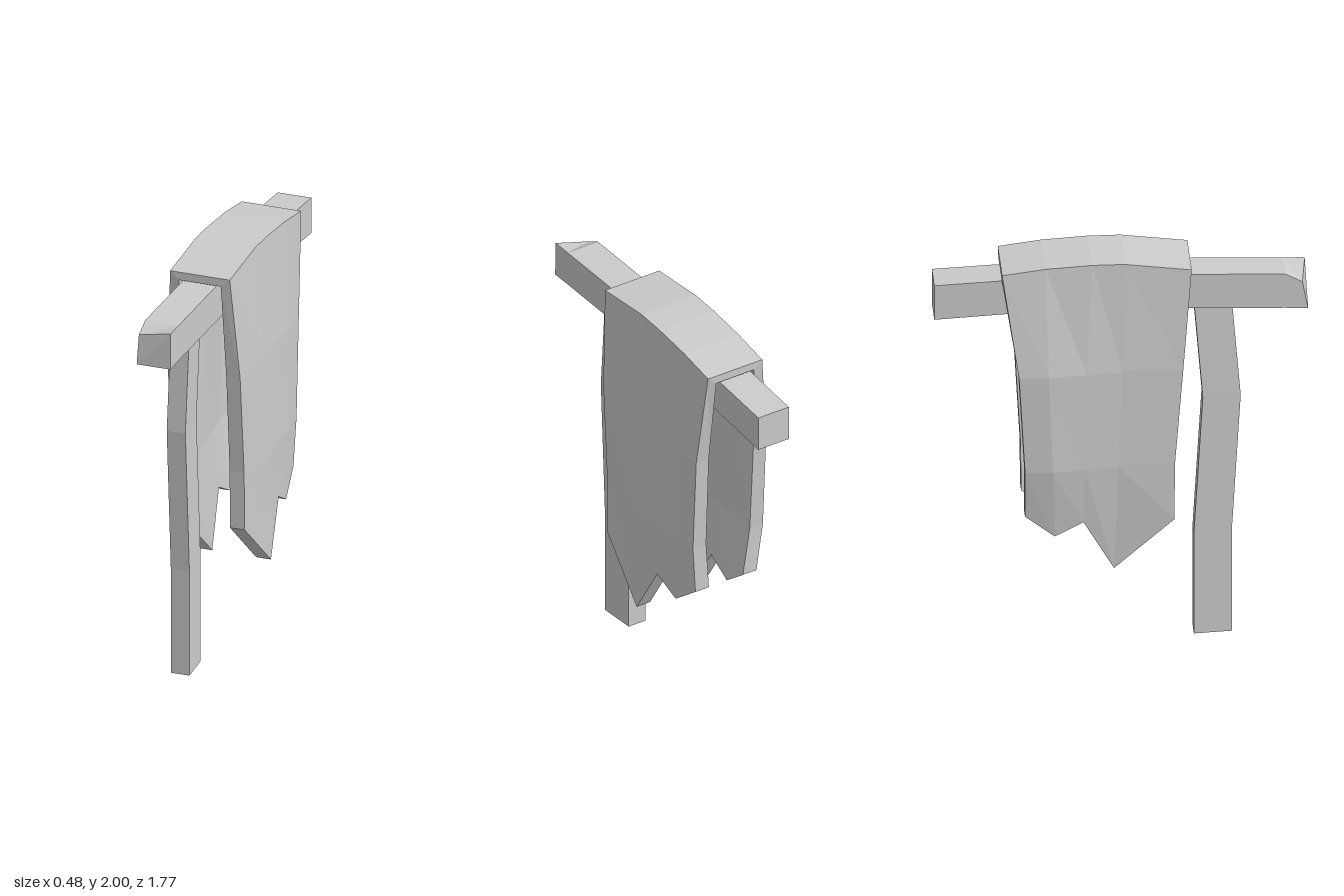
import * as THREE from 'three';

// Skin a series of matching rings (counter-clockwise seen from the far end), capped at both ends
function loft(name, rings) {
  const pos = [];
  const quad = (a, b, c, d) => pos.push(...a, ...b, ...c, ...a, ...c, ...d);
  const n = rings[0].length;
  for (let r = 0; r < rings.length - 1; r++) {
    for (let i = 0; i < n; i++) {
      const j = (i + 1) % n;
      quad(rings[r][i], rings[r][j], rings[r + 1][j], rings[r + 1][i]);
    }
  }
  const first = rings[0], last = rings[rings.length - 1];
  for (let k = 0; k < n / 2 - 1; k++) {
    quad(last[k], last[k + 1], last[n - 2 - k], last[n - 1 - k]);
    quad(first[n - 1 - k], first[n - 2 - k], first[k + 1], first[k]);
  }
  const geo = new THREE.BufferGeometry();
  geo.setAttribute('position', new THREE.Float32BufferAttribute(pos, 3));
  geo.computeVertexNormals();
  const mesh = new THREE.Mesh(geo, new THREE.MeshStandardMaterial({ color: 0xcccccc, flatShading: true }));
  mesh.name = name;
  return mesh;
}

// Crossbeam: gently bowed, with one front corner chipped away
function makeBeam() {
  const x0 = -0.075, x1 = 0.095;
  const rings = [[-0.88, 1.71, 1.89], [-0.5, 1.73, 1.907], [0.1, 1.735, 1.915], [0.77, 1.715, 1.893]].map(
    ([z, y0, y1]) => [[x0, y0, z], [x1, y0, z], [x1, y1, z], [x0, y1, z]]);
  rings.push([[x0, 1.71, 0.877], [x1, 1.71, 0.877], [x1, 1.89, 0.872], [x0, 1.85, 0.85]]);
  return loft('crossbeam', rings);
}

// Post: a bent square timber
function makePost() {
  const rings = [[0, 0], [0.53, 0], [1.25, 0.042], [1.76, 0]].map(([y, dz]) => [
    [-0.033, y, 0.345 + dz], [-0.002, y, 0.522 + dz], [0.092, y, 0.514 + dz], [0.06, y, 0.337 + dz],
  ]);
  return loft('post', rings);
}

// Cloth: one folded cross-section per column, back to front, with a ragged hem
function makeCloth() {
  // z at [top, upper, lower, hem], top y, hem y, then right and left x at [upper, lower, hem]
  const columns = [
    { z: [-0.565, -0.49, -0.462, -0.46], top: 1.96, hem: 0.70, right: [0.19, 0.19, 0.175], left: [-0.2, -0.2, -0.165] },
    { z: [-0.36, -0.35, -0.33, -0.32], top: 1.987, hem: 0.59, right: [0.2, 0.205, 0.195], left: [-0.208, -0.21, -0.165] },
    { z: [-0.14, -0.17, -0.18, -0.185], top: 2.0, hem: 0.66, right: [0.205, 0.215, 0.212], left: [-0.185, -0.19, -0.165] },
    { z: [0.01, 0, -0.02, -0.04], top: 2.0, hem: 0.40, right: [0.215, 0.232, 0.232], left: [-0.165, -0.17, -0.14] },
    { z: [0.326, 0.285, 0.245, 0.243], top: 1.96, hem: 0.66, right: [0.208, 0.212, 0.214], left: [-0.157, -0.162, -0.162] },
  ];
  const thick = [0.045, 0.07, 0.073, 0.075];
  const rings = columns.map(({ z, top, hem, right, left }) => {
    const y = [top, 1.45, 0.95, hem];
    const xr = [0.172, ...right], xl = [-0.13, ...left];
    const side = (xs, inset) => xs.map((x, i) => [
      x - Math.sign(x) * inset * thick[i], y[i] - (i === 0 ? 0.04 * inset : 0), z[i]]);
    return [...side(xr, 0).reverse(), ...side(xl, 0), ...side(xl, 1).reverse(), ...side(xr, 1)];
  });
  return loft('drapedCloth', rings);
}

export function createModel() {
  const model = new THREE.Group();
  model.name = 'clothOnBeam';
  // The beam and cloth are turned slightly about the vertical
  const draped = new THREE.Group();
  draped.name = 'beamAndCloth';
  draped.rotation.y = 0.087;
  draped.add(makeBeam(), makeCloth());
  model.add(draped, makePost());
  return model;
}
